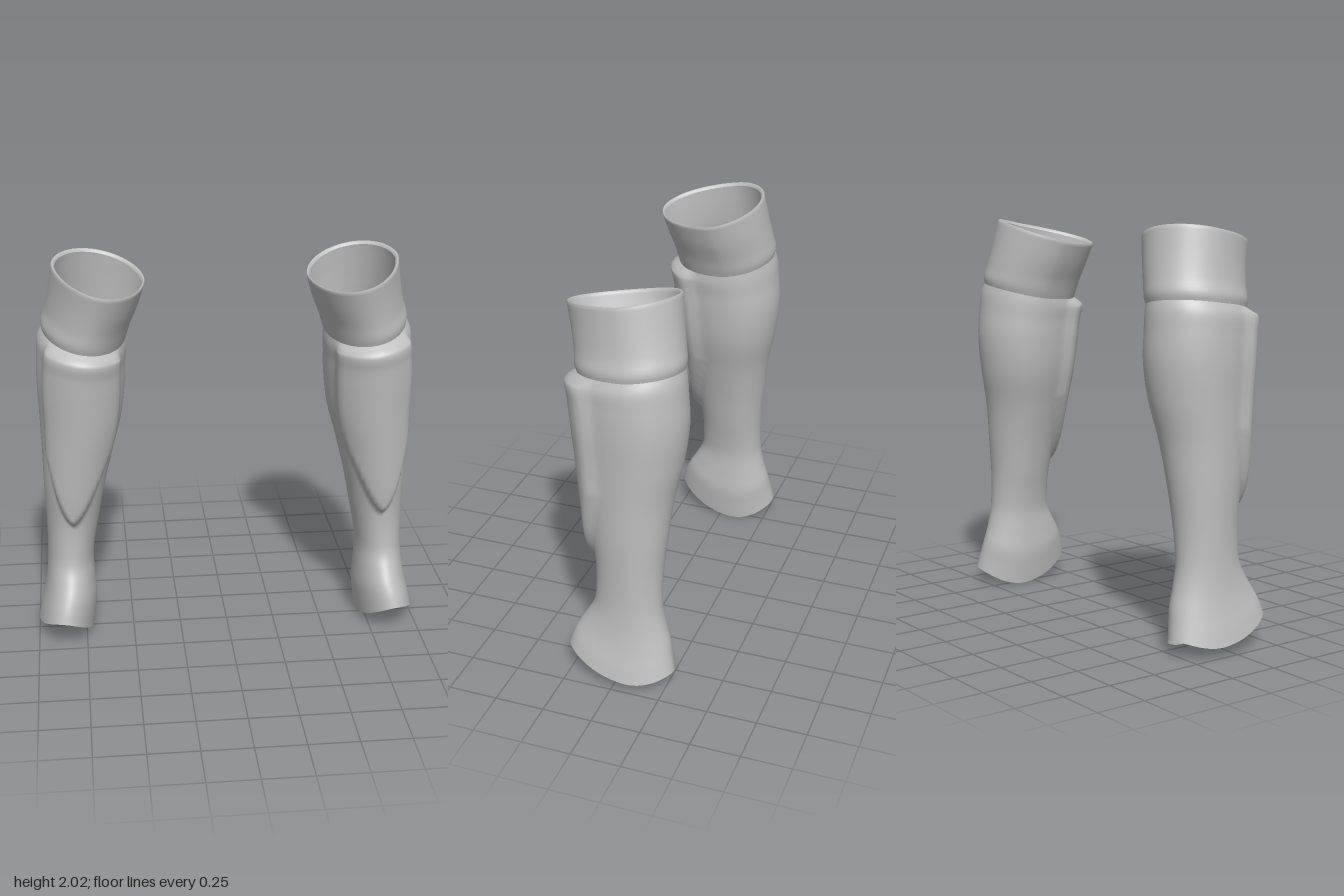
import * as THREE from 'three';

const SEGMENTS = 64;
const { smoothstep, lerp } = THREE.MathUtils;

// Cross-sections: height, inner x, outer x, back z, front z
const SHIN = [
  [0.07, 0.71, 1.0, -0.28, 0.265],
  [0.14, 0.7, 0.985, -0.265, 0.245],
  [0.22, 0.69, 0.965, -0.25, 0.215],
  [0.3, 0.695, 0.95, -0.228, 0.18],
  [0.4, 0.7, 0.94, -0.207, 0.14],
  [0.5, 0.688, 0.937, -0.202, 0.13],
  [0.62, 0.665, 0.938, -0.205, 0.133],
  [0.8, 0.63, 0.943, -0.222, 0.16],
  [1.0, 0.582, 0.945, -0.245, 0.185],
  [1.2, 0.53, 0.95, -0.285, 0.21],
  [1.38, 0.51, 0.955, -0.305, 0.23],
  [1.5, 0.505, 0.95, -0.297, 0.243],
  [1.585, 0.5, 0.94, -0.288, 0.255],
  [1.625, 0.503, 0.918, -0.277, 0.238],
];
const CUFF = [
  [1.625, 0.503, 0.918, -0.277, 0.238],
  [1.655, 0.492, 0.922, -0.283, 0.248],
  [1.72, 0.472, 0.9, -0.272, 0.258],
  [1.82, 0.435, 0.878, -0.253, 0.28],
  [1.94, 0.4, 0.858, -0.232, 0.31],
];

// Height change around a ring, given its value at the four sides
function tilt(c, s, outer, inner, front, back) {
  const mean = (outer + inner + front + back) / 4;
  const twist = (outer + inner - front - back) / 4;
  return mean + twist * (c * c - s * s) + ((outer - inner) / 2) * c + ((front - back) / 2) * s;
}

// Raised shin plate: a U shape on the front, ending in a rounded tip
function plateHeight(y, angle) {
  const halfWidth = 1.05 * Math.sqrt(Math.max(0, Math.min(1, (y - 0.65) / 0.4)));
  const side = Math.abs(angle - Math.PI / 2);
  const away = Math.min(side, 2 * Math.PI - side);
  return 0.036 * smoothstep(halfWidth - away, 0, 0.25) * (1 - smoothstep(y, 1.59, 1.625));
}

function ringPoint([y, x0, x1, zb, zf], angle, inset) {
  const c = Math.cos(angle), s = Math.sin(angle);
  const zc = lerp(zb, zf, 0.42);
  const bump = plateHeight(y, angle) - inset;
  const egg = 1 - 0.12 * Math.max(0, s) * smoothstep(y, 1.3, 1.9);
  const low = 1 - smoothstep(y, 0.07, 0.45);
  const high = smoothstep(y, 1.2, 1.6) + 0.5 * smoothstep(y, 1.65, 1.94);
  return [
    (x0 + x1) / 2 + ((x1 - x0) / 2) * c * egg + c * bump,
    y + low * tilt(c, s, -0.02, -0.07, 0.075, 0.01)
      + high * tilt(c, s, 0.03, -0.03, -0.03, 0.035),
    zc + (s > 0 ? zf - zc : zc - zb) * s + s * bump,
  ];
}

// Smooth open sleeve through the cross-sections, with an optional rolled rim
function sleeve(rows, steps, rim, mirror) {
  const curve = new THREE.CubicInterpolant(
    rows.map((r) => r[0]), rows.flatMap((r) => r.slice(1)), 4, new Float32Array(4));
  const rings = [];
  const first = rows[0][0], last = rows[rows.length - 1][0];
  for (let i = 0; i <= steps; i++) {
    const y = i === steps ? last : lerp(first, last, i / steps);
    rings.push({ row: [y, ...curve.evaluate(y)], inset: 0, drop: 0 });
  }
  if (rim) {
    const { row } = rings[steps];
    for (const [inset, drop] of [[0.006, -0.004], [0.014, 0.002], [0.018, 0.012]]) {
      rings.push({ row, inset, drop });
    }
  }
  const positions = [], index = [];
  rings.forEach(({ row, inset, drop }, i) => {
    for (let j = 0; j < SEGMENTS; j++) {
      const [x, y, z] = ringPoint(row, (j / SEGMENTS) * Math.PI * 2, inset);
      positions.push(mirror * x, y - drop, z);
      if (i === rings.length - 1) continue;
      const a = i * SEGMENTS + j, b = i * SEGMENTS + ((j + 1) % SEGMENTS);
      const c = a + SEGMENTS, d = b + SEGMENTS;
      if (mirror > 0) index.push(a, c, b, b, c, d);
      else index.push(a, b, c, b, d, c);
    }
  });
  const geometry = new THREE.BufferGeometry();
  geometry.setAttribute('position', new THREE.Float32BufferAttribute(positions, 3));
  geometry.setIndex(index);
  geometry.computeVertexNormals();
  return geometry;
}

export function createModel() {
  const grey = new THREE.MeshStandardMaterial({ color: 0xbfbfbf, side: THREE.DoubleSide });
  grey.name = 'grey';
  const model = new THREE.Group();
  model.name = 'legGuards';
  for (const [name, mirror] of [['left', 1], ['right', -1]]) {
    const leg = new THREE.Group();
    leg.name = name + 'LegGuard';
    const shin = new THREE.Mesh(sleeve(SHIN, 90, false, mirror), grey);
    shin.name = name + 'ShinSleeve';
    const cuff = new THREE.Mesh(sleeve(CUFF, 20, true, mirror), grey);
    cuff.name = name + 'KneeCuff';
    leg.add(shin, cuff);
    model.add(leg);
  }
  return model;
}
